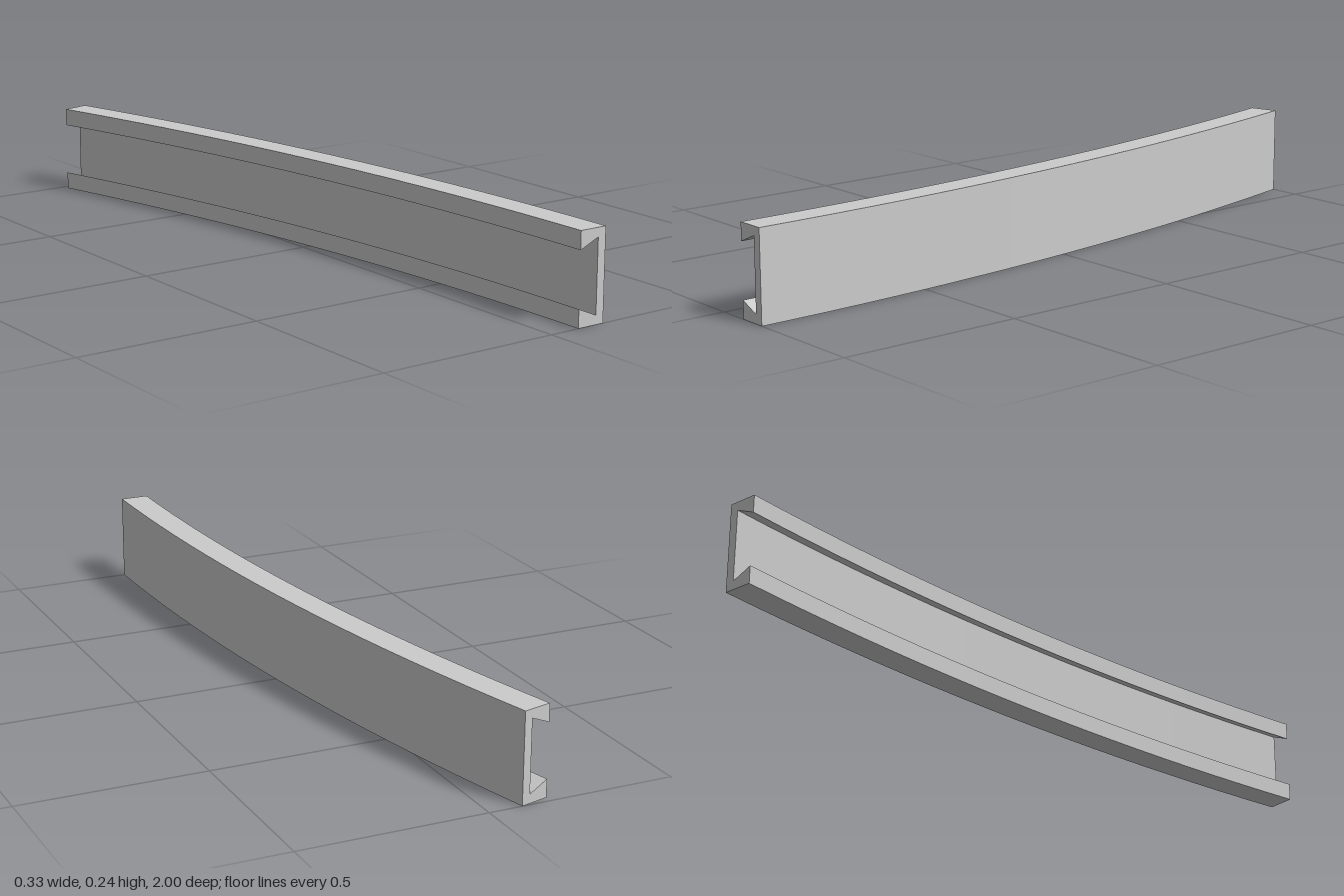
import * as THREE from 'three';

const SWEEP = (14.4 * Math.PI) / 180; // angle covered by the curved rail
const INNER = 7.963;                  // radius at the flange lips
const HEIGHT = 0.241;
const CENTRE_X = 0.0852 - INNER;      // centre of curvature, level with z = 1

// C-shaped section: x is the distance outward from the lips, y is up
function channelSection() {
  const half = [[0, 0], [0.079, 0], [0.079, HEIGHT], [0, HEIGHT],
    [0, HEIGHT - 0.048], [0.0555, HEIGHT - 0.024], [0.0555, 0.024], [0, 0.048]];
  return new THREE.Shape(half.map(([x, y]) => new THREE.Vector2(x, y)));
}

export function createModel() {
  const group = new THREE.Group();
  group.name = 'curvedChannelBeam';

  // Extrude along the sweep angle, then wrap the length around the arc
  const geometry = new THREE.ExtrudeGeometry(channelSection(), {
    depth: SWEEP, steps: 20, bevelEnabled: false,
  });
  const pos = geometry.attributes.position;
  for (let i = 0; i < pos.count; i++) {
    const r = INNER + pos.getX(i);
    const a = SWEEP - pos.getZ(i);
    pos.setXYZ(i, CENTRE_X + r * Math.cos(a), pos.getY(i), 1 - r * Math.sin(a));
  }
  geometry.computeVertexNormals();

  const beam = new THREE.Mesh(geometry,
    new THREE.MeshStandardMaterial({ color: 0xcccccc, flatShading: true }));
  beam.name = 'channelBeam';
  group.add(beam);
  return group;
}
